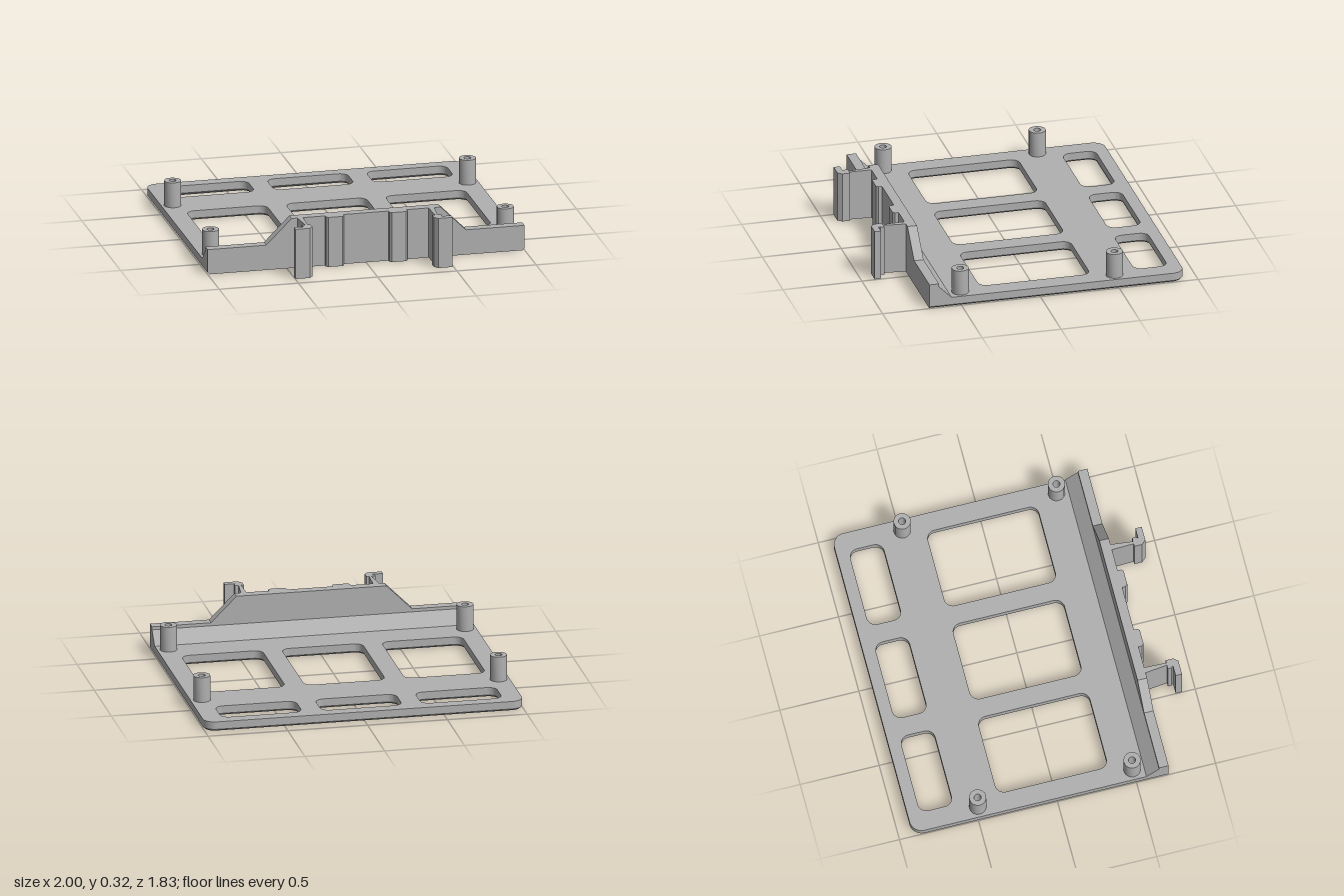
import * as THREE from 'three';
import { toCreasedNormals } from 'three/addons/utils/BufferGeometryUtils.js';

const grey = new THREE.MeshStandardMaterial({ color: 0xb0b0b0 });
grey.name = 'grey plastic';

const BACK = -0.917, FRONT = 0.703, T = 0.06, CHAMFER = 0.012;
const CORNER = 0.075, HOLE_R = 0.055, SCREW_R = 0.022;
const screws = [[-0.93, -0.487], [0.93, -0.487], [-0.93, 0.49], [0.93, 0.49]];

// Windows as [x0, x1, z0, z1]
const windows = [];
for (const [z0, z1] of [[-0.84, -0.627], [-0.35, 0.353]])
  for (const cx of [-0.627, 0, 0.627]) windows.push([cx - 0.254, cx + 0.254, z0, z1]);

const poly = pts => new THREE.Shape(pts.map(p => new THREE.Vector2(...p)));

function mesh(name, geometry) {
  const m = new THREE.Mesh(toCreasedNormals(geometry, 0.5), grey);
  m.name = name;
  return m;
}

// Extrudes a shape drawn in (x, z) upward from y0 to y1
function upright(shape, y0, y1, steps = 1) {
  const g = new THREE.ExtrudeGeometry(shape, { depth: y1 - y0, bevelEnabled: false, steps, curveSegments: 8 });
  return g.rotateX(Math.PI / 2).translate(0, y1, 0);
}

function roundedPath([x0, x1, z0, z1], r) {
  const p = new THREE.Path();
  p.absarc(x1 - r, z1 - r, r, 0, Math.PI / 2);
  p.absarc(x0 + r, z1 - r, r, Math.PI / 2, Math.PI);
  p.absarc(x0 + r, z0 + r, r, Math.PI, Math.PI * 1.5);
  p.absarc(x1 - r, z0 + r, r, Math.PI * 1.5, Math.PI * 2);
  p.closePath();
  return p;
}

function circlePath(x, z, r) {
  return new THREE.Path().absarc(x, z, r, 0, Math.PI * 2, true);
}

// Base plate with windows and screw holes; the lower rims are chamfered
function plateGeometry() {
  const s = new THREE.Shape();
  s.moveTo(1, FRONT);
  s.lineTo(-1, FRONT);
  s.absarc(-1 + CORNER, BACK + CORNER, CORNER, Math.PI, Math.PI * 1.5);
  s.absarc(1 - CORNER, BACK + CORNER, CORNER, Math.PI * 1.5, Math.PI * 2);
  s.closePath();
  windows.forEach(w => s.holes.push(roundedPath(w, HOLE_R)));
  screws.forEach(([x, z]) => s.holes.push(circlePath(x, z, SCREW_R)));

  const g = upright(s, 0, T, 2);
  const pos = g.attributes.position;
  const clamp = THREE.MathUtils.clamp;
  for (let i = 0; i < pos.count; i++) {
    const x = pos.getX(i), y = pos.getY(i), z = pos.getZ(i);
    if (Math.abs(y - T / 2) < 1e-4) pos.setY(i, CHAMFER); // middle ring marks the chamfer
    if (y > 1e-4) continue;
    if (screws.some(([a, b]) => Math.hypot(x - a, z - b) < SCREW_R + 0.005)) continue;
    const e = 1e-4;
    const w = windows.find(([x0, x1, z0, z1]) => x > x0 - e && x < x1 + e && z > z0 - e && z < z1 + e);
    const r = w ? HOLE_R : CORNER;
    const [x0, x1, z0, z1] = w || [-1, 1, BACK, 9];
    const dx = x - clamp(x, x0 + r, x1 - r), dz = z - clamp(z, z0 + r, z1 - r);
    const k = (w ? CHAMFER : -CHAMFER) / (Math.hypot(dx, dz) || 1);
    pos.setXYZ(i, x + dx * k, 0, z + dz * k);
  }
  g.computeVertexNormals();
  return g;
}

export function createModel() {
  const group = new THREE.Group();
  group.add(mesh('basePlate', plateGeometry()));

  // Hollow screw posts
  for (const [x, z] of screws) {
    const ring = new THREE.Shape().absarc(0, 0, 0.053, 0, Math.PI * 2);
    ring.holes.push(circlePath(0, 0, SCREW_R));
    const post = mesh('screwPost', upright(ring, T, 0.22));
    post.position.set(x, 0, z);
    group.add(post);
  }

  // Front wall with raised middle
  const wall = poly([[-1, T], [1, T], [1, 0.16], [0.63, 0.16], [0.47, 0.32],
    [-0.47, 0.32], [-0.63, 0.16], [-1, 0.16]]);
  group.add(mesh('frontWall', new THREE.ExtrudeGeometry(wall, { depth: FRONT - 0.643, bevelEnabled: false })
    .translate(0, 0, 0.643)));

  // Sloped brace behind the wall
  const brace = poly([[0.563, T], [0.643, T], [0.643, 0.14]]);
  group.add(mesh('wallBrace', new THREE.ExtrudeGeometry(brace, { depth: 2, bevelEnabled: false })
    .rotateY(-Math.PI / 2).translate(1, 0, 0)));

  // Spacer pads and hooked clips, mirrored left and right
  const pad = [[0.143, 0.69], [0.257, 0.69], [0.257, 0.725], [0.245, 0.738], [0.155, 0.738], [0.143, 0.725]];
  const clip = [[0.396, 0.69], [0.434, 0.69], [0.431, 0.715], [0.417, 0.842], [0.44, 0.842], [0.44, 0.865],
    [0.43, 0.877], [0.496, 0.877], [0.496, 0.917], [0.406, 0.917], [0.384, 0.89], [0.384, 0.842], [0.401, 0.842]];
  for (const [side, sign] of [['left', 1], ['right', -1]]) {
    const mirror = pts => poly(pts.map(([x, z]) => [x * sign - 0.002, z]));
    group.add(mesh(side + 'SpacerPad', upright(mirror(pad), 0, 0.32)));
    group.add(mesh(side + 'Clip', upright(mirror(clip), 0, 0.32)));
  }
  return group;
}
